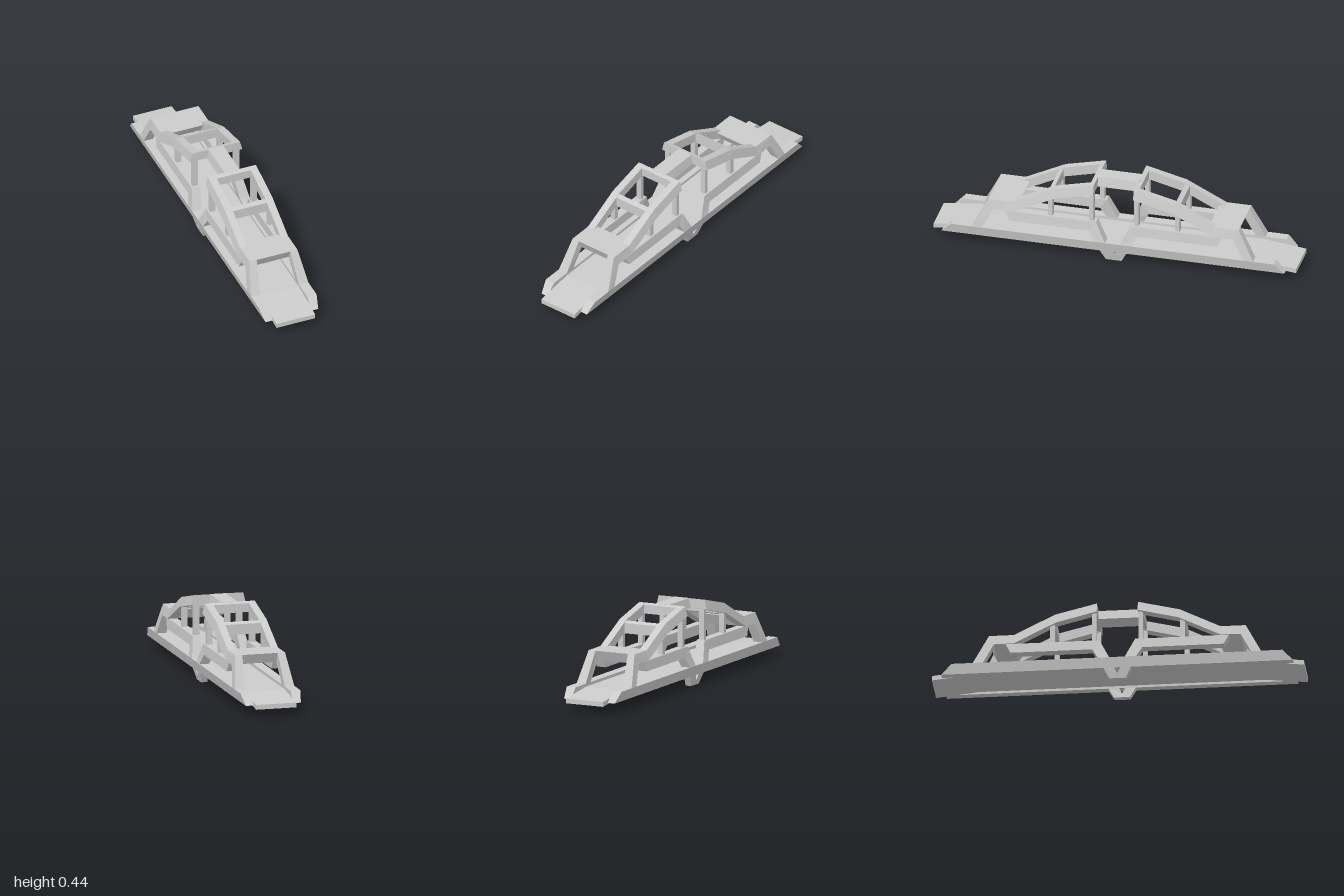
import * as THREE from 'three';

const material = new THREE.MeshStandardMaterial({ color: 0xcccccc, flatShading: true });

// Convex side profile of [z, y, innerX, outerX] corners, spanned across x.
// sx and sz mirror the piece to the other side or end.
function spanGeometry(profile, sx, sz) {
  let ring = profile.map(([z, y, xi, xo]) => ({
    lo: [sx > 0 ? xi : -xo, y, sz * z],
    hi: [sx > 0 ? xo : -xi, y, sz * z],
  }));
  let area = 0;
  ring.forEach((p, i) => {
    const q = ring[(i + 1) % ring.length];
    area += -p.hi[2] * q.hi[1] + q.hi[2] * p.hi[1];
  });
  if (area < 0) ring = ring.reverse();
  const pos = [];
  const tri = (a, b, c) => pos.push(...a, ...b, ...c);
  ring.forEach((p, i) => {
    const q = ring[(i + 1) % ring.length];
    tri(p.hi, p.lo, q.lo);
    tri(p.hi, q.lo, q.hi);
    if (i > 0 && i < ring.length - 1) {
      tri(ring[0].hi, p.hi, q.hi);
      tri(ring[0].lo, q.lo, p.lo);
    }
  });
  const geometry = new THREE.BufferGeometry();
  geometry.setAttribute('position', new THREE.Float32BufferAttribute(pos, 3));
  geometry.computeVertexNormals();
  return geometry;
}

export function createModel() {
  const group = new THREE.Group();
  const add = (name, profile, sidesX, sidesZ) => {
    for (const sx of sidesX) for (const sz of sidesZ) {
      const mesh = new THREE.Mesh(spanGeometry(profile, sx, sz), material);
      mesh.name = name;
      group.add(mesh);
    }
  };
  const both = [1, -1], one = [1];
  const quarter = (name, profile) => add(name, profile, both, both);
  const across = (name, w, zy, ends = both) =>
    add(name, zy.map(([z, y, x = w]) => [z, y, -x, x]), one, ends);

  // Deck with sloping end ramps
  across('deck', 0.112, [[0.77, 0.07], [0.77, 0.097], [-0.77, 0.097], [-0.77, 0.07]], one);
  across('ramp', 0.112, [[0.77, 0.07], [0.77, 0.097], [1, 0.071], [1, 0.045]]);

  // Long side beams with slanted ends
  add('sideBeam', [
    [0.945, 0.057, 0.112, 0.153], [0.89, 0.113, 0.112, 0.166],
    [-0.89, 0.113, 0.112, 0.166], [-0.945, 0.057, 0.112, 0.153],
  ], both, one);

  // End legs and the knee that joins them to the arch
  quarter('endLeg', [
    [0.69, 0.28, 0.098, 0.139], [0.663, 0.225, 0.098, 0.15],
    [0.72, 0.113, 0.112, 0.166], [0.775, 0.113, 0.112, 0.166],
  ]);
  quarter('knee', [
    [0.69, 0.28, 0.098, 0.139], [0.555, 0.28, 0.098, 0.139],
    [0.556, 0.225, 0.098, 0.152], [0.663, 0.225, 0.098, 0.15],
  ]);

  // Upper arch chords, narrower at the top edge
  const top = [[0.11, 0.445], [0.335, 0.39], [0.555, 0.28]];
  const bottom = [[0.11, 0.392], [0.33, 0.337], [0.556, 0.225]];
  for (let i = 0; i < 2; i++) {
    quarter('archChord', [
      [...top[i], 0.098, 0.139], [...top[i + 1], 0.098, 0.139],
      [...bottom[i + 1], 0.098, 0.152], [...bottom[i], 0.098, 0.152],
    ]);
  }

  // Lower chords and the struts running down to the middle feet
  quarter('lowerChord', [
    [0.6, 0.225, 0.098, 0.145], [0.572, 0.17, 0.098, 0.152],
    [0.134, 0.17, 0.098, 0.152], [0.096, 0.225, 0.098, 0.145],
  ]);
  quarter('middleStrut', [
    [0.134, 0.17, 0.098, 0.152], [0.096, 0.225, 0.098, 0.145],
    [0.042, 0.113, 0.112, 0.166], [0.103, 0.113, 0.112, 0.166],
  ]);
  quarter('middleFoot', [
    [0.0735, 0.057, 0.112, 0.153], [0.0154, 0.057, 0.112, 0.153],
    [0, 0.025, 0.111, 0.146], [0, 0, 0.105, 0.139], [0.043, 0, 0.105, 0.139],
  ]);

  // Upright posts between the chords
  for (const [z0, z1, y] of [[0.112, 0.136, 0.4], [0.337, 0.363, 0.345]]) {
    quarter('post', [[z0, 0.22], [z0, y], [z1, y], [z1, 0.22]].map(p => [...p, 0.105, 0.135]));
  }

  // Cross members and end plates
  across('topCrossBeam', 0.1, [[0.11, 0.445], [0.135, 0.438], [0.135, 0.39], [0.11, 0.392]]);
  across('middleCrossBeam', 0.1, [[0.335, 0.386], [0.36, 0.376], [0.36, 0.32], [0.335, 0.33]]);
  across('endPlate', 0.1, [[0.69, 0.28], [0.524, 0.28], [0.556, 0.225], [0.663, 0.225]]);

  // Narrow ridge linking the two arches
  across('ridgeBeam', 0.05, [
    [0.115, 0.445, 0.043], [-0.115, 0.445, 0.043], [-0.115, 0.392, 0.055], [0.115, 0.392, 0.055],
  ], one);

  return group;
}
